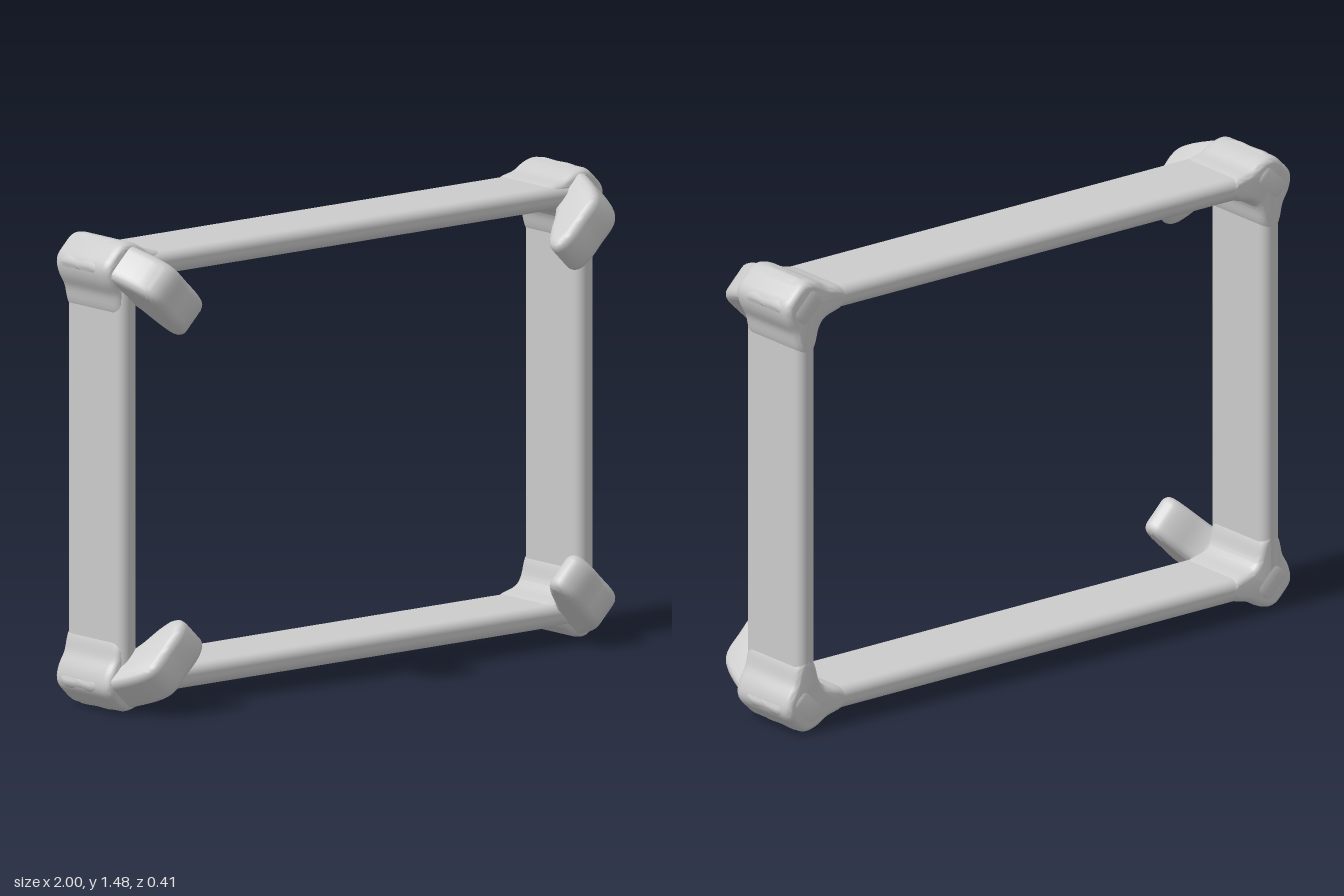
import * as THREE from 'three';
import { toCreasedNormals } from 'three/addons/utils/BufferGeometryUtils.js';
import { RoundedBoxGeometry } from 'three/addons/geometries/RoundedBoxGeometry.js';

const material = new THREE.MeshStandardMaterial({ color: 0xcccccc });

// Centre lines of the four bars
const X = 0.917, Y_LOW = 0.0925, Y_HIGH = 1.403;
const Y_MID = (Y_LOW + Y_HIGH) / 2;

// Closed smooth outline, extruded with a rounded rim and centred on its depth
function softExtrude(points, depth, rimSize, rimDepth) {
  const curve = new THREE.CatmullRomCurve3(
    points.map(([x, y]) => new THREE.Vector3(x, y, 0)), true, 'centripetal');
  const outline = curve.getPoints(72).slice(0, -1).map((p) => new THREE.Vector2(p.x, p.y));
  const geometry = new THREE.ExtrudeGeometry(new THREE.Shape(outline), {
    depth: depth - 2 * rimDepth, bevelEnabled: true,
    bevelSize: rimSize, bevelThickness: rimDepth, bevelSegments: 5,
  });
  geometry.translate(0, 0, -(depth - 2 * rimDepth) / 2);
  return geometry;
}

function addMesh(parent, geometry, name) {
  const mesh = new THREE.Mesh(geometry, material);
  mesh.name = name;
  parent.add(mesh);
  return mesh;
}

// Hook: profile is (outward diagonal, z), thickness runs across the diagonal
function hookGeometry() {
  const profile = [
    [0.025, -0.175], [0.041, -0.16], [0.042, -0.08], [0.042, -0.01], [0.022, 0.05],
    [-0.03, 0.155], [-0.055, 0.174], [-0.12, 0.175], [-0.185, 0.174], [-0.215, 0.16],
    [-0.212, 0.145], [-0.18, 0.12], [-0.11, 0.085], [-0.06, 0.04],
    [-0.05, -0.02], [-0.05, -0.1], [-0.048, -0.16], [-0.03, -0.175],
  ];
  const geometry = softExtrude(profile, 0.134, 0.025, 0.028);
  geometry.rotateX(Math.PI / 2);
  return toCreasedNormals(geometry, Math.PI / 3);
}

// Joint: flares from the corner into both bars, mirrored about the diagonal
function jointGeometry() {
  const half = [
    [0.036, 0.036], [0.005, 0.061], [-0.03, 0.056], [-0.075, 0.032], [-0.13, 0.017],
    [-0.15, 0], [-0.13, -0.017], [-0.075, -0.034],
  ];
  const mirrored = half.slice(1).reverse().map(([x, y]) => [y, x]);
  const geometry = softExtrude([...half, [-0.05, -0.05], ...mirrored], 0.262, 0.02, 0.03);
  geometry.rotateZ(-Math.PI / 4);
  geometry.translate(0, 0, -0.069);
  return toCreasedNormals(geometry, Math.PI / 3);
}

export function createModel() {
  const model = new THREE.Group();
  model.name = 'hookedFrame';

  // Flat bars with rounded edges
  const beam = new RoundedBoxGeometry(2 * X, 0.072, 0.272, 5, 0.03);
  const post = new RoundedBoxGeometry(0.072, Y_HIGH - Y_LOW, 0.272, 5, 0.03);
  addMesh(model, beam, 'topBar').position.set(0, Y_HIGH, -0.064);
  addMesh(model, beam, 'bottomBar').position.set(0, Y_LOW, -0.064);
  addMesh(model, post, 'leftBar').position.set(X, Y_MID, -0.064);
  addMesh(model, post, 'rightBar').position.set(-X, Y_MID, -0.064);

  // Four corners, each turned so its local x points outward on the diagonal
  const hook = hookGeometry();
  const joint = jointGeometry();
  for (const sx of [1, -1]) {
    for (const sy of [1, -1]) {
      const corner = new THREE.Group();
      corner.name = (sy > 0 ? 'top' : 'bottom') + (sx > 0 ? 'Left' : 'Right') + 'Corner';
      corner.position.set(sx * X, sy > 0 ? Y_HIGH : Y_LOW, 0);
      corner.rotation.z = Math.atan2(sy, sx);
      addMesh(corner, hook, 'hook');
      addMesh(corner, joint, 'joint');
      model.add(corner);
    }
  }
  return model;
}
